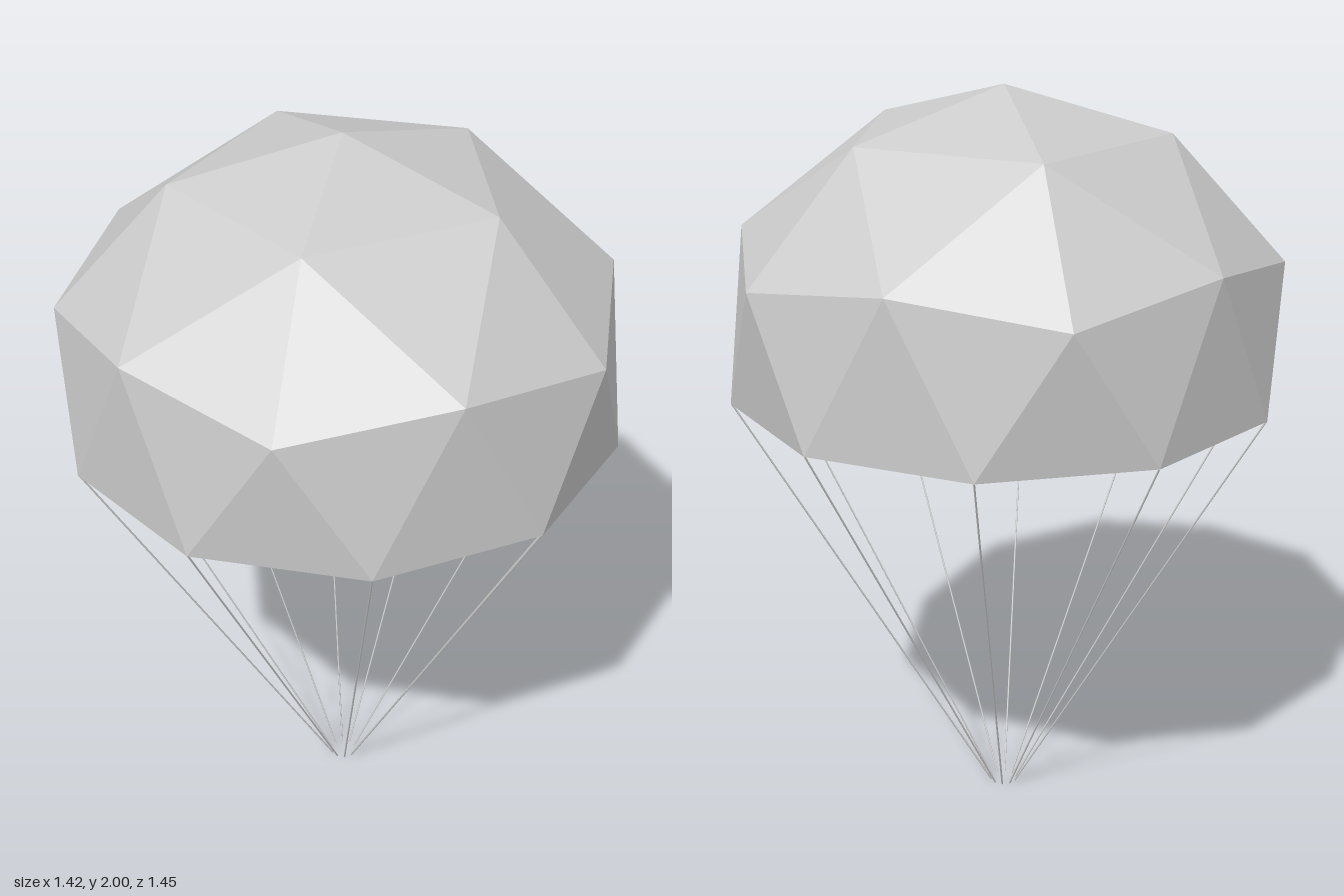
import * as THREE from 'three';

const CX = -0.017; // apex offset that centres the canopy's width
const TAU = Math.PI * 2;

// Point on a horizontal ring, angle in degrees from +x
function ringPoint(radius, y, deg) {
  const a = (deg / 360) * TAU;
  return new THREE.Vector3(CX + radius * Math.cos(a), y, radius * Math.sin(a));
}

// Half of a geodesic sphere: apex, 5-point ring, 10-point ring, 10-point hem
function canopyGeometry() {
  const apex = new THREE.Vector3(CX, 2, 0);
  const upper = (k) => ringPoint(0.427, 1.883, 72 * k);
  const middle = (i) => (i % 2 === 0 ? ringPoint(0.725, 1.558, 36 * i) : ringPoint(0.692, 1.62, 36 * i));
  const hem = (i) => ringPoint(0.725, 1.2, 18 + 36 * i);

  const points = [];
  const face = (a, b, c) => points.push(a, c, b); // reversed so faces point outward
  for (let k = 0; k < 5; k++) {
    const m = 2 * k;
    face(apex, upper(k), upper(k + 1));
    face(upper(k), middle(m + 1), upper(k + 1));
    face(upper(k), middle(m), middle(m + 1));
    face(upper(k), middle(m + 9), middle(m));
  }
  for (let i = 0; i < 10; i++) {
    face(middle(i), hem(i), middle(i + 1));
    face(middle(i), hem(i + 9), hem(i));
  }
  const geometry = new THREE.BufferGeometry().setFromPoints(points);
  geometry.computeVertexNormals();
  return geometry;
}

// Thin straight cord between two points
function cord(from, to, material) {
  const dir = to.clone().sub(from);
  const mesh = new THREE.Mesh(new THREE.CylinderGeometry(0.0025, 0.0025, dir.length(), 5), material);
  mesh.position.copy(from).add(to).multiplyScalar(0.5);
  mesh.quaternion.setFromUnitVectors(new THREE.Vector3(0, 1, 0), dir.normalize());
  return mesh;
}

export function createModel() {
  const model = new THREE.Group();
  model.name = 'parachute';

  // Faceted, open canopy
  const cloth = new THREE.MeshStandardMaterial({ color: 0xcccccc, flatShading: true, side: THREE.DoubleSide });
  const canopy = new THREE.Mesh(canopyGeometry(), cloth);
  canopy.name = 'canopy';
  model.add(canopy);

  // One suspension cord from each hem corner, converging at the bottom
  const cordMaterial = new THREE.MeshStandardMaterial({ color: 0xcccccc });
  const cords = new THREE.Group();
  cords.name = 'suspensionCords';
  for (let i = 0; i < 10; i++) {
    const deg = 18 + 36 * i;
    const line = cord(ringPoint(0.035, 0.002, deg), ringPoint(0.722, 1.2, deg), cordMaterial);
    line.name = 'suspensionCord';
    cords.add(line);
  }
  model.add(cords);
  return model;
}
